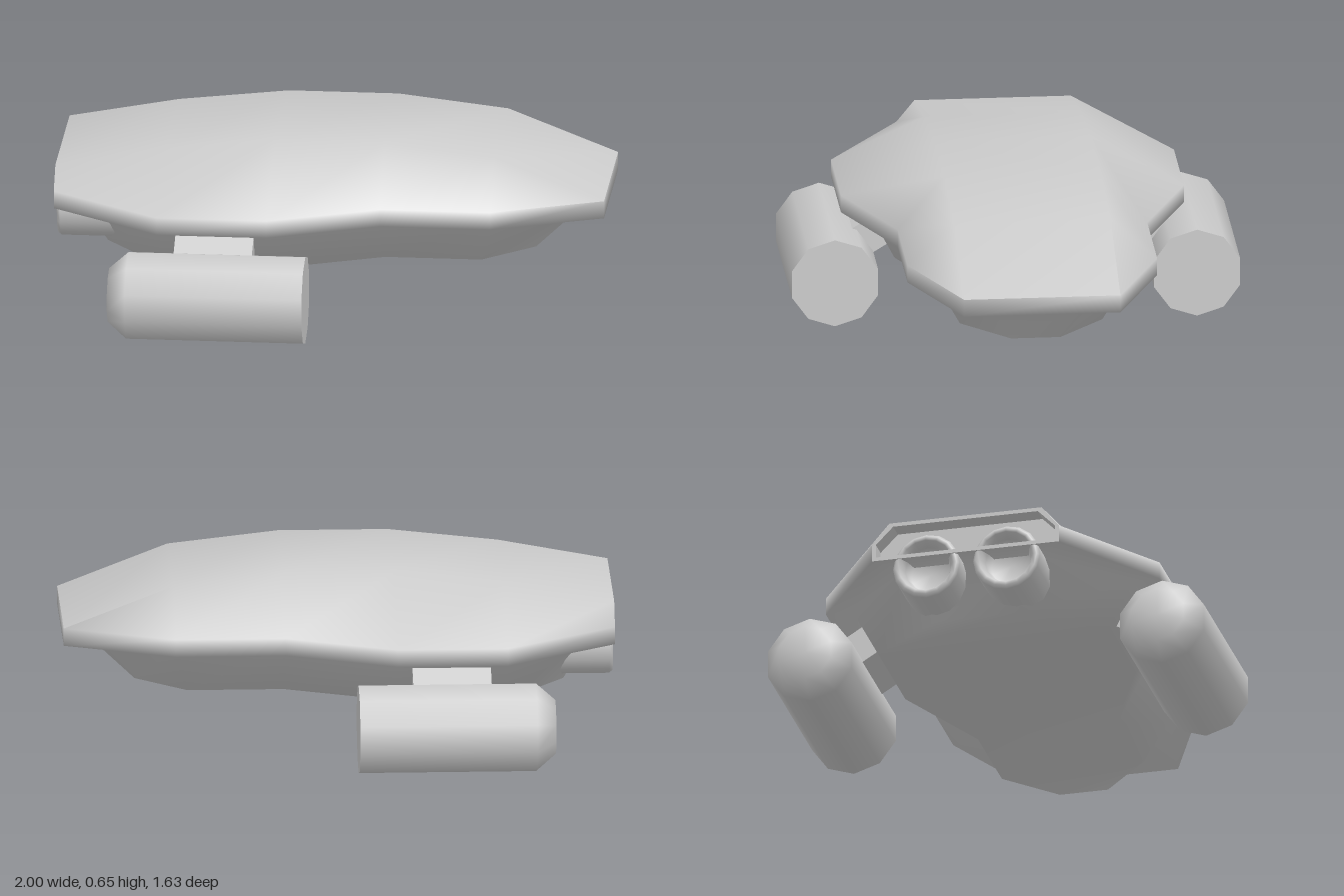
import * as THREE from 'three';

const grey = new THREE.MeshStandardMaterial({ color: 0xcccccc });
const greyTwoSided = new THREE.MeshStandardMaterial({ color: 0xcccccc, side: THREE.DoubleSide });

function add(parent, name, geometry, material = grey) {
  const mesh = new THREE.Mesh(geometry, material);
  mesh.name = name;
  parent.add(mesh);
  return mesh;
}

// Hull built from stacked plan outlines; each station is [x, half width, y]
function hullGeometry() {
  const stations = [-1, -0.6, -0.2, 0.2, 0.6, 1];
  const widths = [0.35, 0.625, 0.625, 0.455, 0.455, 0.285];
  const keelX = [-0.82, -0.6, -0.2, 0.2, 0.55, 0.735];
  const stepX = [-0.91, -0.6, -0.2, 0.2, 0.6, 0.9];
  const roofY = [0.525, 0.6, 0.645, 0.645, 0.6, 0.445];
  const layers = [
    stations.map((x, i) => [keelX[i], widths[i] - 0.195, 0.2]),
    stations.map((x, i) => [stepX[i], widths[i] - 0.1, 0.38]),
    stations.map((x, i) => [x, widths[i], 0.38]),
    stations.map((x, i) => [x, widths[i], 0.445]),
    stations.map((x, i) => [x, 0.285, roofY[i]]),
  ];
  const n = stations.length, ring = 2 * n;
  const positions = [], index = [];
  for (const layer of layers) {
    for (const [x, w, y] of layer) positions.push(x, y, w);
    for (const [x, w, y] of [...layer].reverse()) positions.push(x, y, -w);
  }
  // Walls between outlines; the stern above the rim stays open
  for (let k = 0; k < layers.length - 1; k++) {
    for (let i = 0; i < ring; i++) {
      if (i === ring - 1 && k >= 2) continue;
      const a = k * ring + i, b = k * ring + (i + 1) % ring;
      index.push(a, b, b + ring, a, b + ring, a + ring);
    }
  }
  // Keel and roof, bridged from side to side
  const top = (layers.length - 1) * ring;
  for (let i = 0; i < n - 1; i++) {
    const p = i, q = i + 1, r = ring - 2 - i, s = ring - 1 - i;
    index.push(top + p, top + q, top + r, top + p, top + r, top + s);
    index.push(p, r, q, p, s, r);
  }
  const g = new THREE.BufferGeometry();
  g.setAttribute('position', new THREE.Float32BufferAttribute(positions, 3));
  g.setIndex(index);
  g.computeVertexNormals();
  return g;
}

// Stern outline, shrunk by an inset
function sternPoints(d) {
  return [[0.35 - d, 0.381 + d], [0.35 - d, 0.445], [0.285 - d, 0.525 - d],
    [-0.285 + d, 0.525 - d], [-0.35 + d, 0.445], [-0.35 + d, 0.381 + d]]
    .map(([z, y]) => new THREE.Vector2(z, y));
}

// Turned part along x from [radius, x] points
function turned(points, sides) {
  const profile = points.map(([r, x]) => new THREE.Vector2(r, x));
  return new THREE.LatheGeometry(profile, sides, 0).rotateZ(-Math.PI / 2);
}

export function createModel() {
  const model = new THREE.Group();
  model.name = 'spacecraft';
  add(model, 'hull', hullGeometry(), greyTwoSided);

  // Recessed stern: lip frame and back plate
  const frame = new THREE.Shape(sternPoints(0));
  frame.holes.push(new THREE.Path(sternPoints(0.014)));
  const lip = new THREE.ExtrudeGeometry(frame, { depth: 0.07, bevelEnabled: false });
  add(model, 'sternLip', lip.rotateY(Math.PI / 2).translate(-1, 0, 0));
  const plate = new THREE.ShapeGeometry(new THREE.Shape(sternPoints(0.005)));
  add(model, 'sternPlate', plate.rotateY(Math.PI / 2).translate(-0.93, 0, 0), greyTwoSided);

  for (const side of [1, -1]) {
    const name = side > 0 ? 'front' : 'back';

    // Hollow engine nozzle
    const nozzle = add(model, name + 'Nozzle', turned([
      [0.125, -0.75], [0.125, -0.985], [0.115, -0.997], [0.1, -0.997], [0.085, -0.96], [0.075, -0.91], [0, -0.91],
    ], 16), greyTwoSided);
    nozzle.position.set(0, 0.345, side * 0.15);

    // Pod with a chamfered stern and flat bow
    const pod = add(model, name + 'Pod', turned([
      [0, -0.77], [0.102, -0.77], [0.165, -0.7], [0.165, -0.055], [0.165, -0.055], [0, -0.055],
    ], 10), greyTwoSided);
    pod.geometry.rotateX(Math.PI / 2);
    pod.position.set(0, 0.158, side * 0.66);

    // Slanted strut from hull to pod
    const strut = add(model, name + 'Strut', new THREE.BoxGeometry(0.285, 0.12, 0.3));
    strut.position.set(-0.4, 0.272, side * 0.505);
    strut.rotation.x = side * 0.55;
  }
  return model;
}
